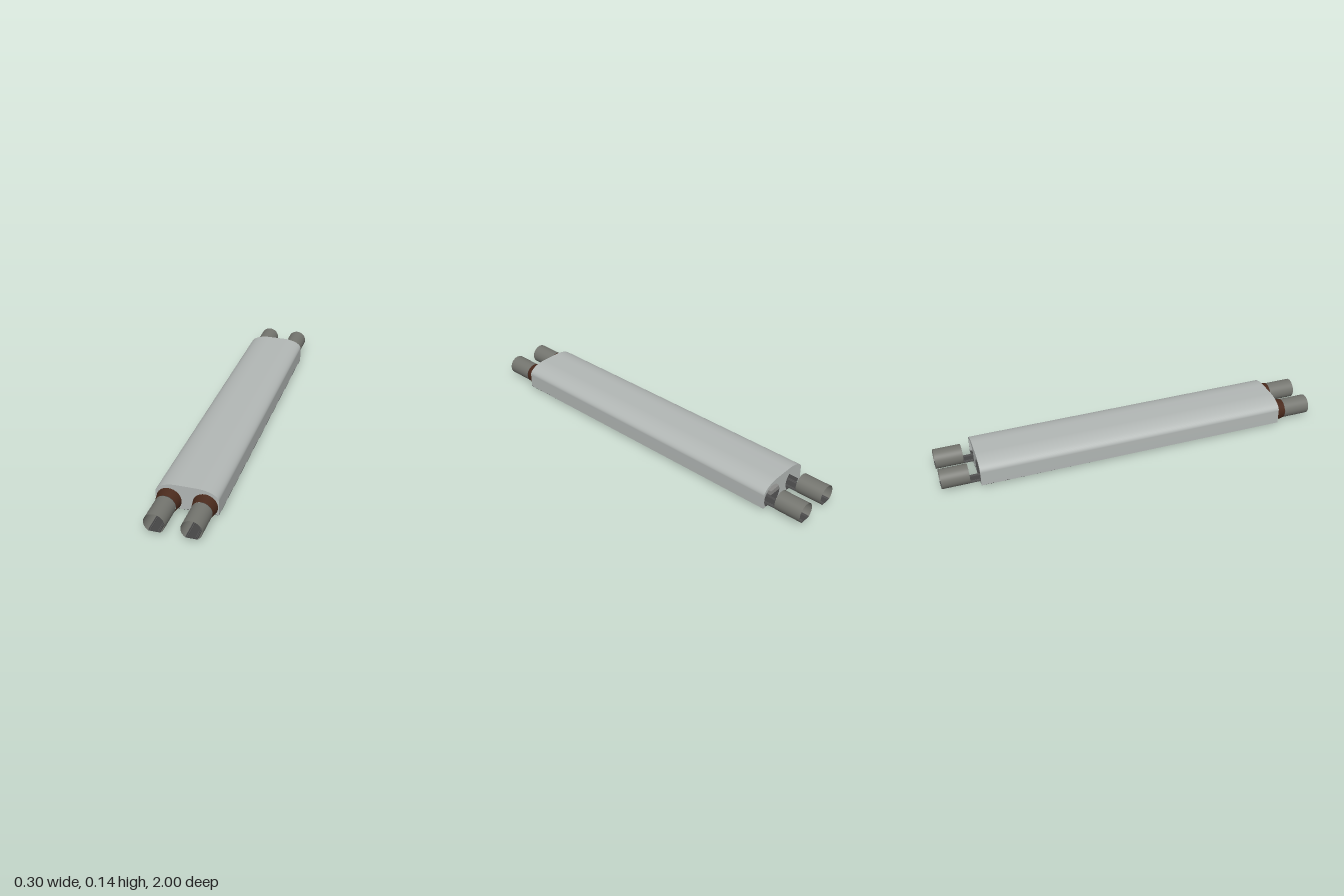
import * as THREE from 'three';

const HALL = 0.81;      // half length of the hall
const FLOOR = 0.018;    // floor level
const BORE_X = 0.086, BORE_Y = 0.06, BORE_R = 0.05, HOLE_R = 0.06;

const mat = (name, color, side = THREE.FrontSide) => {
  const m = new THREE.MeshStandardMaterial({ color, side });
  m.name = name;
  return m;
};

export function createModel() {
  const concrete = mat('hall concrete', 0xb2b7b5, THREE.DoubleSide);
  const lining = mat('tunnel lining', 0x74756f, THREE.DoubleSide);
  const bedGrey = mat('dark floor', 0x464646, THREE.DoubleSide);
  const platformGrey = mat('platform grey', 0x8a8a88);
  const brown = mat('brown collar', 0x4a2a1c, THREE.DoubleSide);
  const steel = mat('rail steel', 0x5a5a5a);

  const model = new THREE.Group();
  model.name = 'twinTunnelStation';
  const add = (name, geometry, material, x = 0, y = 0, z = 0) => {
    const mesh = new THREE.Mesh(geometry, material);
    mesh.name = name;
    mesh.position.set(x, y, z);
    model.add(mesh);
    return mesh;
  };
  const box = (name, w, h, d, material, x, y, z) =>
    add(name, new THREE.BoxGeometry(w, h, d), material, x, y, z);

  // Roof outline: straight sides, elliptical shoulders, flat crown
  const outline = [[0.15, FLOOR]];
  const N = 16;
  for (let i = 0; i <= N; i++) {
    const a = (i / N) * Math.PI / 2;
    outline.push([0.045 + 0.105 * Math.cos(a), 0.093 + 0.05 * Math.sin(a)]);
  }
  const half = outline.slice();
  for (const [x, y] of half.reverse()) outline.push([-x, y]);

  // Hall shell swept along z, with smooth shoulder normals
  const pos = [], index = [];
  outline.forEach(([x, y], i) => {
    pos.push(x, y, HALL, x, y, -HALL);
    if (i) {
      const a = 2 * (i - 1), b = 2 * i;
      index.push(a, a + 1, b, b, a + 1, b + 1);
    }
  });
  const shell = new THREE.BufferGeometry();
  shell.setAttribute('position', new THREE.Float32BufferAttribute(pos, 3));
  shell.setIndex(index);
  shell.computeVertexNormals();
  add('hallShell', shell, concrete);

  // End walls, cut open where the two bores pass through
  const wall = new THREE.Shape();
  wall.moveTo(outline[0][0], outline[0][1]);
  outline.slice(1).forEach(([x, y]) => wall.lineTo(x, y));
  const dip = Math.asin((BORE_Y - FLOOR) / HOLE_R);
  for (const x of [-BORE_X, BORE_X]) {
    wall.lineTo(x - HOLE_R * Math.cos(dip), FLOOR);
    wall.absarc(x, BORE_Y, HOLE_R, Math.PI + dip, -dip, true);
  }
  wall.closePath();
  const wallGeometry = new THREE.ShapeGeometry(wall, 32);
  add('frontWall', wallGeometry, concrete, 0, 0, HALL);
  add('backWall', wallGeometry, concrete, 0, 0, -HALL).rotation.y = Math.PI;

  // Hall floor and central platform
  box('hallFloor', 0.3, 0.002, 2 * HALL, bedGrey, 0, FLOOR + 0.001, 0);
  box('platform', 0.094, 0.023, 1.56, platformGrey, 0, 0.0315, 0);
  for (const z of [-0.725, 0.725])
    box('platformFooting', 0.09, 0.002, 0.11, platformGrey, 0, FLOOR, z);

  // Tunnel bores, collars, track beds and rails
  const gap = Math.acos((BORE_Y - FLOOR) / BORE_R);
  const bore = new THREE.CylinderGeometry(BORE_R, BORE_R, 0.14, 40, 1, true, gap, 2 * (Math.PI - gap));
  bore.rotateX(Math.PI / 2);
  const collar = new THREE.CylinderGeometry(BORE_R + 0.0005, HOLE_R, 0.05, 40, 1, true);
  collar.rotateX(Math.PI / 2);
  for (const x of [-BORE_X, BORE_X]) {
    for (const z of [-0.93, 0.93]) add('tunnelBore', bore, lining, x, BORE_Y, z);
    add('collar', collar, brown, x, BORE_Y, HALL + 0.023);
    box('trackBed', 0.054, 0.003, 2, bedGrey, x, FLOOR + 0.0015, 0);
    for (const s of [-1, 1]) {
      box('rail', 0.002, 0.006, 2, steel, x + s * 0.019, FLOOR + 0.005, 0);
      box('cableDuct', 0.002, 0.007, 2, steel, x + s * 0.026, FLOOR + 0.0055, 0);
    }
  }
  return model;
}
